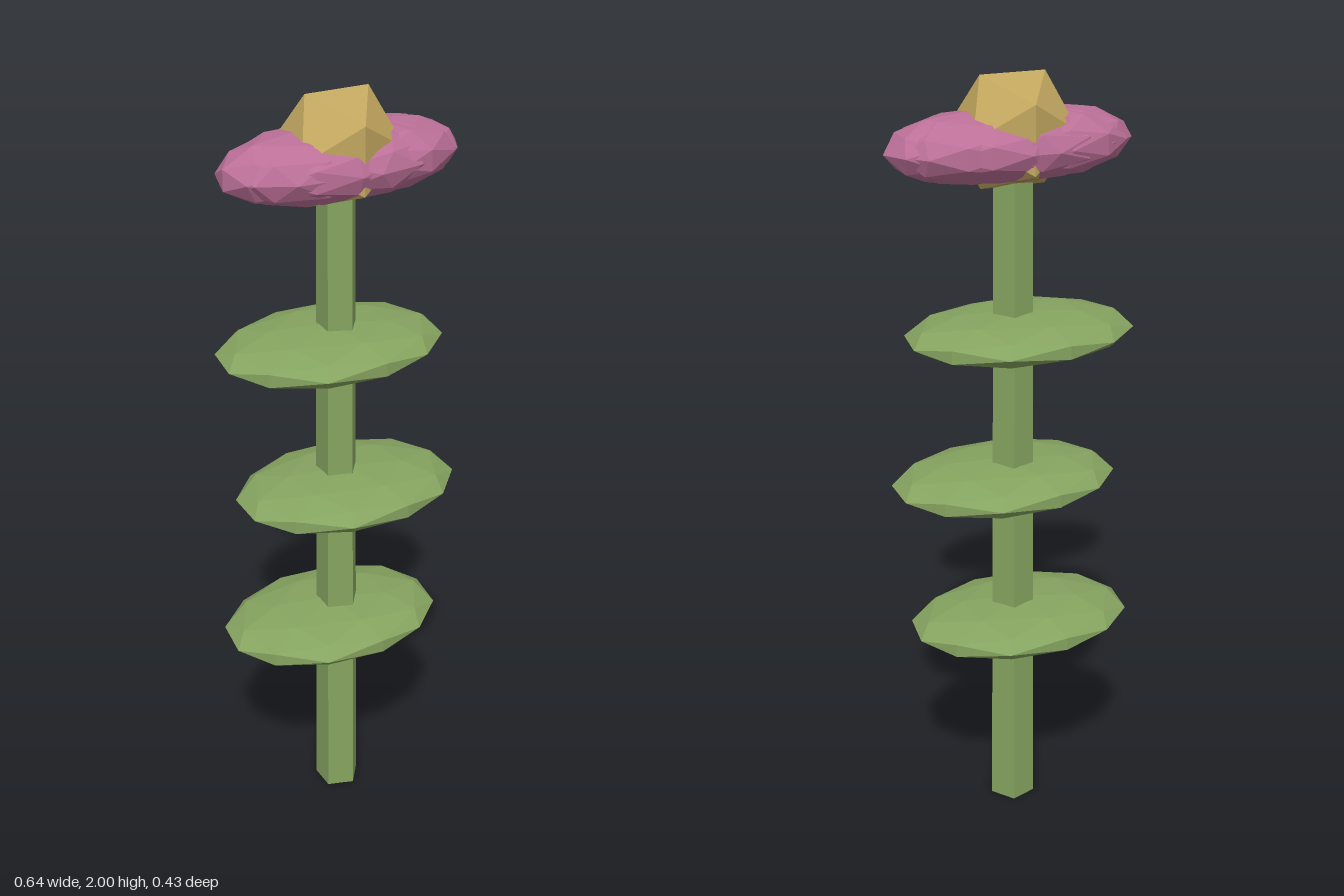
import * as THREE from 'three';

const material = (color) => new THREE.MeshStandardMaterial({ color, flatShading: true });

// Faceted ball, spun about y, then squashed to the given half sizes
function facetedBlob(name, mat, half, spin, position) {
  const geometry = new THREE.IcosahedronGeometry(1, 1);
  geometry.rotateY(spin);
  geometry.scale(...half);
  geometry.computeVertexNormals();
  const mesh = new THREE.Mesh(geometry, mat);
  mesh.name = name;
  mesh.position.set(...position);
  return mesh;
}

export function createModel() {
  const model = new THREE.Group();
  model.name = 'flower';
  const green = material(0x86a460);
  const pink = material(0xbc7098);
  const gold = material(0xc2a75f);
  const axisX = -0.008;

  // Five-sided tapering stem with one corner towards +x
  const stemGeometry = new THREE.CylinderGeometry(0.05, 0.061, 1.82, 5);
  stemGeometry.rotateY(Math.PI / 2);
  const stem = new THREE.Mesh(stemGeometry, green);
  stem.name = 'stem';
  stem.position.set(axisX, 0.91, 0);
  model.add(stem);

  // Three flat leaves, slightly shifted about the stem
  const leaves = [
    [-0.027, 0.552, -0.004, -0.38],
    [0.01, 0.955, 0.014, -0.3],
    [-0.025, 1.358, -0.006, -0.38],
  ];
  for (const [x, y, z, spin] of leaves) {
    model.add(facetedBlob('leaf', green, [0.3, 0.056, 0.215], spin, [x, y, z]));
  }

  // Overlapping petals set around a long narrow ring
  const petals = new THREE.Group();
  petals.name = 'petals';
  const count = 10;
  for (let i = 0; i < count; i++) {
    const a = (i / count) * Math.PI * 2;
    petals.add(facetedBlob('petal', pink, [0.22, 0.086, 0.122], a * 1.7,
      [0.1 * Math.cos(a), 1.832, 0.028 * Math.sin(a)]));
  }
  model.add(petals);

  // Golden flower centre
  const centre = new THREE.Mesh(new THREE.IcosahedronGeometry(0.16, 0), gold);
  centre.name = 'flowerCentre';
  centre.position.set(axisX, 1.864, 0);
  model.add(centre);

  return model;
}
